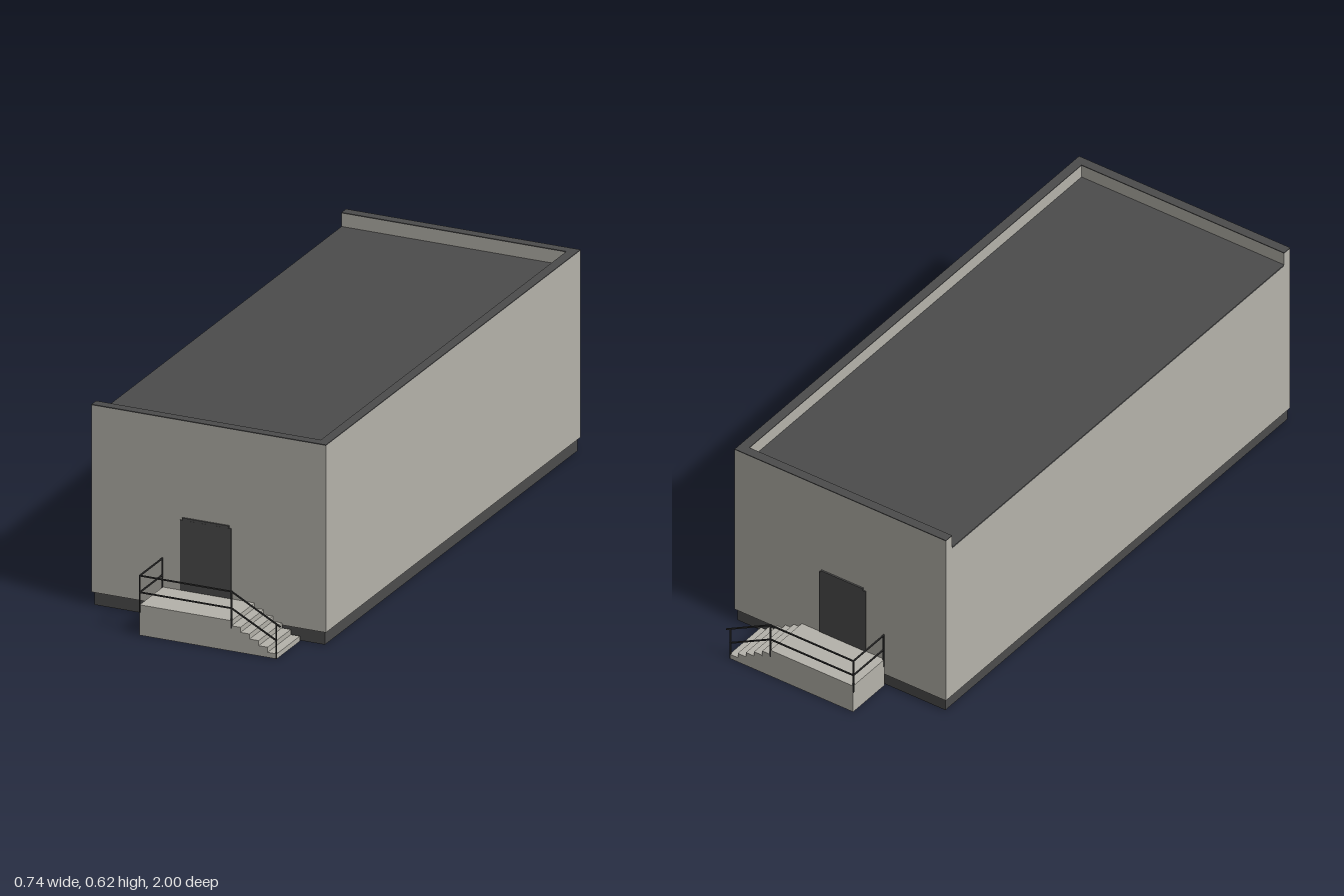
import * as THREE from 'three';

const mat = (name, color) => {
  const m = new THREE.MeshStandardMaterial({ color });
  m.name = name;
  return m;
};

export function createModel() {
  const concrete = mat('pale concrete', 0xb5b3ab);
  const dark = mat('dark grey', 0x4c4c4c);
  const steel = mat('railing steel', 0x333333);
  const model = new THREE.Group();
  model.name = 'building';

  // Box given by its limits on each axis
  const box = (parent, name, m, x0, x1, y0, y1, z0, z1) => {
    const mesh = new THREE.Mesh(new THREE.BoxGeometry(x1 - x0, y1 - y0, Math.abs(z1 - z0)), m);
    mesh.position.set((x0 + x1) / 2, (y0 + y1) / 2, (z0 + z1) / 2);
    mesh.name = name;
    parent.add(mesh);
  };

  // Square bar between two points
  const bar = (parent, name, a, b, t = 0.004) => {
    const p = new THREE.Vector3(...a), q = new THREE.Vector3(...b);
    const mesh = new THREE.Mesh(new THREE.BoxGeometry(t, t, p.distanceTo(q) + t), steel);
    mesh.position.copy(p).add(q).multiplyScalar(0.5);
    mesh.lookAt(q);
    mesh.name = name;
    parent.add(mesh);
  };

  const X = 0.37, Z = 0.845, T = 0.03, TOP = 0.612, ROOF = 0.572;

  // Hollow plinth, slightly set back from the walls
  const rect = (path, x, z) => path.moveTo(-x, -z).lineTo(x, -z).lineTo(x, z).lineTo(-x, z).closePath();
  const ring = new THREE.Shape();
  rect(ring, X - 0.006, Z - 0.006);
  const hole = new THREE.Path();
  rect(hole, X - T, Z - T);
  ring.holes.push(hole);
  const plinthGeo = new THREE.ExtrudeGeometry(ring, { depth: 0.04, bevelEnabled: false });
  plinthGeo.rotateX(-Math.PI / 2);
  const plinth = new THREE.Mesh(plinthGeo, dark);
  plinth.name = 'plinth';
  model.add(plinth);

  // Side walls: the right one rises into a parapet, the left one stops at the roof
  box(model, 'rightWall', concrete, X - T, X, 0.04, TOP, -Z + T, Z - T);
  box(model, 'rightCoping', dark, X - T, X, TOP, 0.615, -Z + T, Z - T);
  box(model, 'leftWall', concrete, -X, -X + T, 0.04, ROOF - 0.005, -Z + T, Z - T);
  box(model, 'roof', dark, -X, X - T, ROOF - 0.005, ROOF, -Z + T, Z - T);

  // One stoop with railing: s is the end it stands at, dx its shift along x
  const stoop = (s, dx) => {
    const g = new THREE.Group();
    g.name = s > 0 ? 'frontStoop' : 'backStoop';
    g.position.x = dx;
    const L = 0.145, H = 0.093, rise = H / 6, run = 0.0286, t = 0.003;
    const zi = s * Z, zo = s * 0.999;

    // Landing slab and end panels, open below
    box(g, 'landing', concrete, -L, L, H - t, H, zi, zo);
    box(g, 'endPanel', concrete, -L, -L + t, 0, H - t, zi, zo);
    box(g, 'innerPanel', concrete, L - t, L, 0, H - t, zi, zo);

    // Stepped outer panel
    const side = new THREE.Shape();
    side.moveTo(-L + t, 0).lineTo(-L + t, H - t).lineTo(L, H - t);
    for (let i = 1; i <= 5; i++) {
      const y = H - i * rise - t, x = L + (i - 1) * run;
      side.lineTo(x, y).lineTo(x + run - t, y);
    }
    side.lineTo(L + 5 * run - t, 0).closePath();
    const panel = new THREE.Mesh(new THREE.ExtrudeGeometry(side, { depth: t, bevelEnabled: false }), concrete);
    panel.position.z = s > 0 ? zo - t : zo;
    panel.name = 'outerPanel';
    g.add(panel);

    // Steps made of thin treads and risers
    for (let i = 1; i <= 5; i++) {
      const y = H - i * rise, x = L + (i - 1) * run;
      box(g, 'tread', concrete, x, x + run, y - t, y, zi, zo);
      box(g, 'riser', concrete, x + run - t, x + run, y - rise, y - t, zi, zo);
    }

    // Posts
    const zr = s * 0.998, zw = s * (Z + 0.004), foot = 0.286;
    bar(g, 'post', [-L, 0.072, zr], [-L, 0.182, zr]);
    bar(g, 'post', [-L, 0.072, zw], [-L, 0.182, zw]);
    bar(g, 'post', [L, 0.072, zr], [L, 0.182, zr]);
    bar(g, 'post', [foot, 0.002, zr], [foot, 0.106, zr]);
    // Top and middle rails: along the end, along the landing, down the steps
    for (const [y, x2, y2] of [[0.182, 0.298, 0.1], [0.131, foot, 0.056]]) {
      bar(g, 'rail', [-L, y, zw], [-L, y, zr]);
      bar(g, 'rail', [-L, y, zr], [L, y, zr]);
      bar(g, 'stairRail', [L, y, zr], [x2, y2, zr]);
    }
    model.add(g);
  };

  // End walls with parapet, coping, door and stoop
  for (const s of [1, -1]) {
    const n = s > 0 ? 'front' : 'back';
    const zi = s * (Z - T), zo = s * Z;
    box(model, n + 'Wall', concrete, -X, X, 0.04, TOP, zi, zo);
    box(model, n + 'Coping', dark, -X, X, TOP, 0.615, zi, zo);
    box(model, n + 'Door', dark, -0.09, 0.072, 0.094, 0.309, s * (Z - T - 0.002), s * (Z + 0.003));
    box(model, n + 'DoorHead', dark, -0.082, 0.065, 0.31, 0.317, zo, s * (Z + 0.005));
    stoop(s, s > 0 ? 0 : -0.01);
  }
  return model;
}
